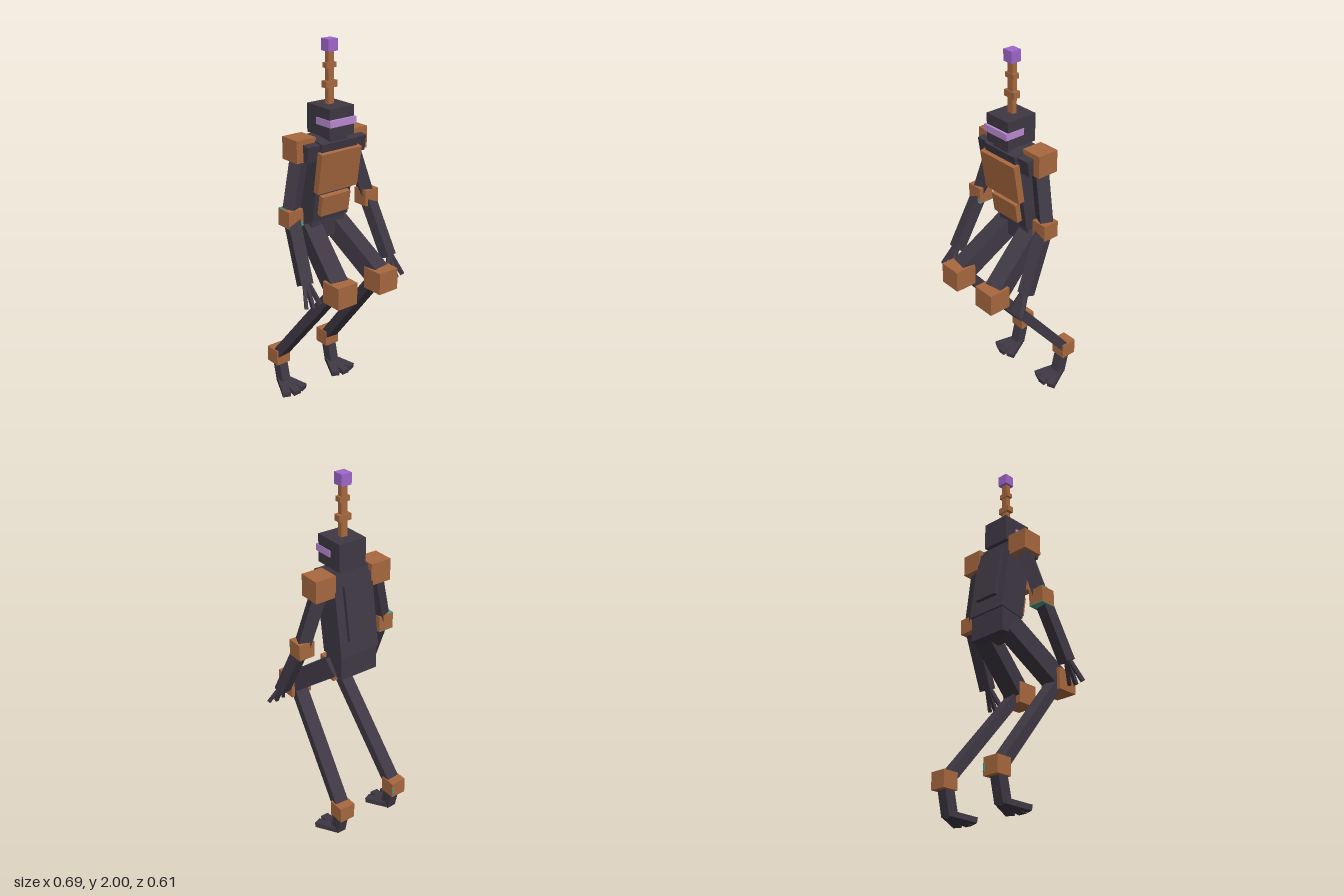
import * as THREE from 'three';

const material = (name, color) => {
  const m = new THREE.MeshStandardMaterial({ color });
  m.name = name;
  return m;
};

export function createModel() {
  const dark = material('dark plum', 0x3f3844);
  const copper = material('copper', 0xa8683f);
  const lilac = material('visor lilac', 0xb98ad2);
  const purple = material('beacon purple', 0xa066cc);
  const teal = material('worn teal', 0x4f9a86);
  const model = new THREE.Group();
  model.name = 'robot';

  // Box by size and centre, optionally leaning forward
  const box = (name, mat, size, pos, lean = 0, parent = model) => {
    const mesh = new THREE.Mesh(new THREE.BoxGeometry(...size), mat);
    mesh.name = name;
    mesh.position.set(...pos);
    mesh.rotation.x = lean;
    parent.add(mesh);
    return mesh;
  };
  // Straight bar between two points
  const bar = (name, mat, w, t, from, to, parent) => {
    const a = new THREE.Vector3(...from), b = new THREE.Vector3(...to);
    const mesh = box(name, mat, [w, t, a.distanceTo(b)], a.clone().add(b).multiplyScalar(0.5).toArray(), 0, parent);
    mesh.lookAt(b);
    return mesh;
  };

  // Head and antenna
  box('head', dark, [0.16, 0.15, 0.178], [0, 1.6, -0.009]);
  box('visor', lilac, [0.168, 0.036, 0.115], [0, 1.6, 0.036]);
  box('antennaStem', copper, [0.036, 0.28, 0.028], [0, 1.805, -0.016]);
  box('antennaNode', copper, [0.072, 0.034, 0.04], [0, 1.775, -0.016]);
  box('antennaNode', copper, [0.06, 0.026, 0.036], [0, 1.87, -0.016]);
  box('antennaTip', purple, [0.06, 0.06, 0.06], [0, 1.97, -0.016]);

  // Torso, leaning forward
  const lean = 0.16;
  box('neck', dark, [0.11, 0.06, 0.13], [0, 1.505, -0.005]);
  box('collar', dark, [0.23, 0.045, 0.15], [0, 1.487, -0.008], lean);
  box('shoulderBar', dark, [0.38, 0.085, 0.125], [0, 1.46, -0.018], lean);
  box('torso', dark, [0.236, 0.41, 0.155], [0, 1.275, -0.057], lean);
  box('chestPlate', copper, [0.26, 0.22, 0.037], [0, 1.345, 0.05], lean);
  box('bellyPlate', copper, [0.185, 0.11, 0.03], [0, 1.155, 0.02], lean);
  box('backPanel', dark, [0.14, 0.295, 0.03], [0, 1.312, -0.135], lean);
  box('pelvis', dark, [0.225, 0.14, 0.13], [0, 1.02, -0.092]);

  for (const s of [1, -1]) {
    const side = s > 0 ? 'left' : 'right';

    // Arm with three fingers
    const arm = new THREE.Group();
    arm.name = side + 'Arm';
    model.add(arm);
    box('shoulder', copper, [0.12, 0.118, 0.12], [s * 0.17, 1.466, -0.05], 0, arm);
    bar('upperArm', dark, 0.068, 0.068, [s * 0.17, 1.43, -0.05], [s * 0.258, 1.125, -0.014], arm);
    box('elbow', copper, [0.09, 0.088, 0.09], [s * 0.255, 1.128, -0.015], 0, arm);
    bar('forearm', dark, 0.068, 0.058, [s * 0.256, 1.12, -0.008], [s * 0.285, 0.81, 0.138], arm);
    for (const k of [-1, 0, 1]) {
      bar('finger', dark, 0.018, 0.02, [s * (0.285 + k * 0.01), 0.825, 0.142],
        [s * (0.287 + k * 0.044), k ? 0.712 : 0.703, 0.205], arm);
    }

    // Backward-bent leg
    const leg = new THREE.Group();
    leg.name = side + 'Leg';
    model.add(leg);
    bar('thigh', dark, 0.1, 0.105, [s * 0.085, 1.0, -0.08], [s * 0.138, 0.78, 0.207], leg);
    box('knee', copper, [0.125, 0.12, 0.125], [s * 0.14, 0.76, 0.239], 0, leg);
    bar('shin', dark, 0.076, 0.055, [s * 0.143, 0.75, 0.205], [s * 0.178, 0.2, -0.25], leg);
    box('ankle', copper, [0.09, 0.09, 0.09], [s * 0.178, 0.195, -0.258], 0, leg);
    bar('foot', dark, 0.055, 0.06, [s * 0.178, 0.18, -0.252], [s * 0.178, 0.03, -0.217], leg);
    for (const k of [-1, 0, 1]) {
      bar('toe', dark, 0.046, 0.028, [s * (0.178 + k * 0.01), 0.038, -0.225],
        [s * (0.178 + k * 0.062), 0.017, k ? -0.103 : -0.085], leg);
    }
  }

  // Worn patches on the right elbow and ankle
  box('elbowPatch', teal, [0.03, 0.004, 0.04], [-0.285, 1.173, -0.04]);
  box('elbowPatch', teal, [0.09, 0.004, 0.09], [-0.255, 1.083, -0.015]);
  box('elbowPatch', teal, [0.016, 0.022, 0.004], [-0.218, 1.095, 0.031]);
  box('anklePatch', teal, [0.012, 0.04, 0.004], [-0.139, 0.19, -0.304]);
  return model;
}
